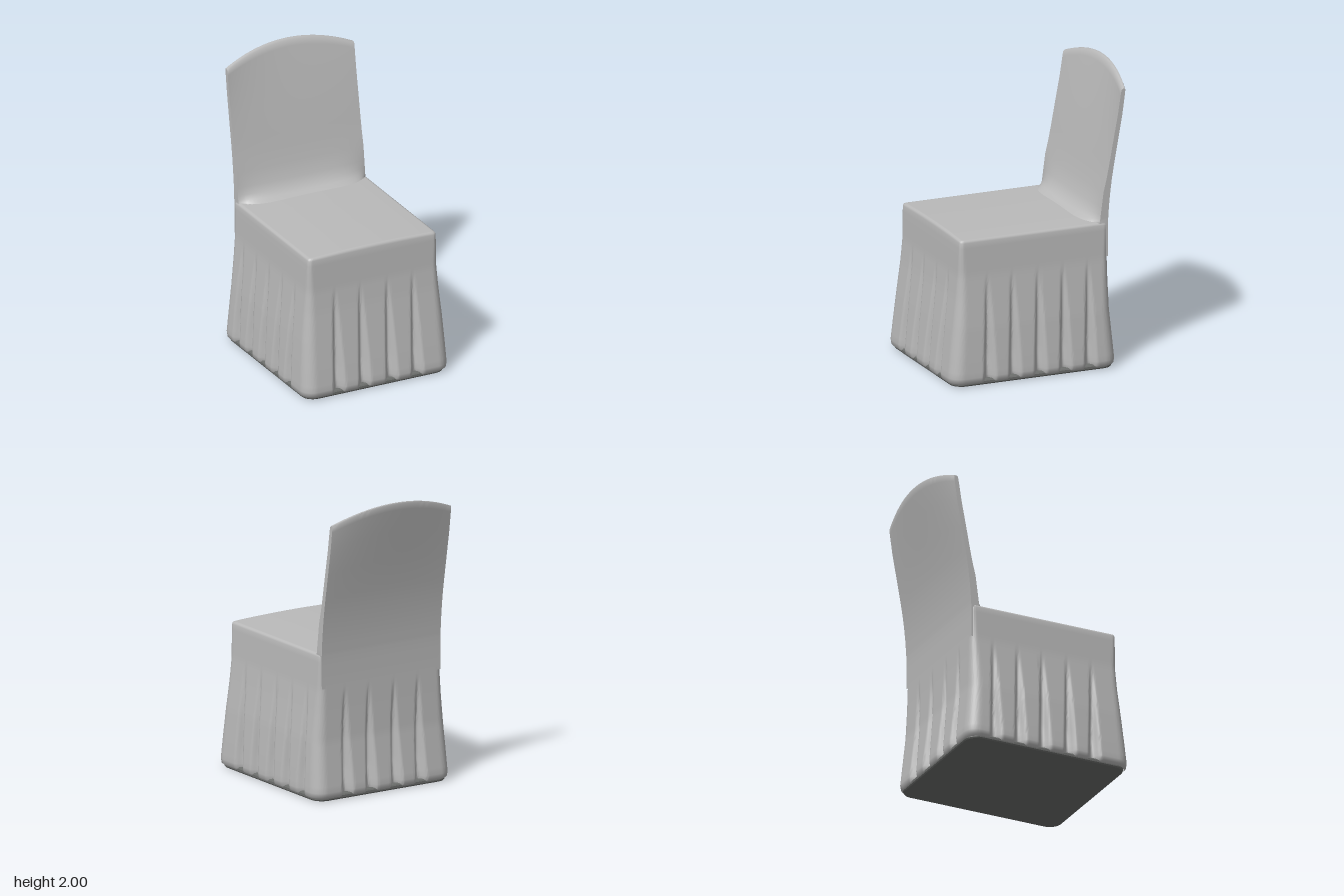
import * as THREE from 'three';
import { toCreasedNormals } from 'three/addons/utils/BufferGeometryUtils.js';

const { lerp, clamp, smoothstep } = THREE.MathUtils;

// Skin a stack of closed rings (each counter-clockwise seen from above, bottom to top)
function loft(rings, crease) {
  const n = rings[0].length, pos = rings.flat(2), idx = [];
  for (let j = 0; j < rings.length - 1; j++) {
    for (let i = 0; i < n; i++) {
      const a = j * n + i, b = j * n + (i + 1) % n;
      idx.push(a, b, b + n, a, b + n, a + n);
    }
  }
  const g = new THREE.BufferGeometry();
  g.setAttribute('position', new THREE.Float32BufferAttribute(pos, 3));
  g.setIndex(idx);
  return toCreasedNormals(g, crease);
}

// Skirt outline by height: y, half width, front z, back z, corner radius
const OUTLINE = [
  [0.018, 0.525, 0.645, -0.52, 0.09],
  [0.03, 0.537, 0.656, -0.53, 0.09],
  [0.06, 0.54, 0.66, -0.534, 0.09],
  [0.2, 0.532, 0.645, -0.52, 0.085],
  [0.4, 0.518, 0.622, -0.5, 0.075],
  [0.6, 0.498, 0.598, -0.493, 0.06],
  [0.75, 0.484, 0.584, -0.489, 0.045],
  [0.9, 0.479, 0.58, -0.486, 0.03],
  [0.975, 0.476, 0.577, -0.485, 0.025],
  [0.987, 0.472, 0.573, -0.482, 0.022],
  [0.992, 0.462, 0.563, -0.474, 0.02],
];
const PLEATS_X = [-0.29, -0.1, 0.1, 0.29];
const PLEATS_Z = [0.39, 0.21, 0.025, -0.155, -0.335];

function outlineAt(y) {
  let k = 0;
  while (k < OUTLINE.length - 2 && y > OUTLINE[k + 1][0]) k++;
  const a = OUTLINE[k], b = OUTLINE[k + 1];
  return a.map((v, i) => lerp(v, b[i], (y - a[0]) / (b[0] - a[0])));
}

// Inward depth of the pleat folds, widening towards the hem
function fold(p, centres, y) {
  const t = Math.min((0.74 - y) / 0.68, 1);
  if (t <= 0) return 0;
  const w = 0.018 + 0.036 * t, depth = 0.052 * Math.min(1, t * 1.25);
  let d = 0;
  for (const c of centres) {
    const q = Math.abs(p - c) / w;
    if (q < 1) d = depth * (0.5 + 0.5 * Math.cos(Math.PI * q));
  }
  return d;
}

function skirtRing(y, scale = 1) {
  const [, hx, zf, zb, r] = outlineAt(y);
  const cz = (zf + zb) / 2, hz = (zf - zb) / 2, N = 130, ring = [];
  for (let side = 0; side < 4; side++) {
    for (let i = 0; i < N; i++) {
      const s = -1 + 2 * i / N;
      const [sx, sz] = [[s, 1], [1, -s], [-s, -1], [-1, s]][side];
      // Rounded rectangle
      const ix = clamp(sx * hx, r - hx, hx - r), iz = clamp(sz * hz, r - hz, hz - r);
      const dx = sx * hx - ix, dz = sz * hz - iz, l = Math.hypot(dx, dz) || 1;
      let x = ix + dx / l * r, z = cz + iz + dz / l * r;
      if (side % 2) x -= Math.sign(sx) * fold(z, PLEATS_Z, y);
      else z -= Math.sign(sz) * fold(x, PLEATS_X, y);
      x *= scale;
      z = cz + (z - cz) * scale;
      // The seat is very slightly domed across its width
      const dome = 0.012 * (1 - (x / 0.48) ** 2) * smoothstep(y, 0.95, 0.99);
      ring.push([x, y + dome, z]);
    }
  }
  return ring;
}

// Chair back: y, front z in the middle, back z at the side edges
const BACK = [
  [0.76, -0.45, -0.4885],
  [0.9, -0.4, -0.4875],
  [0.985, -0.28, -0.488],
  [1.003, -0.33, -0.489],
  [1.02, -0.37, -0.49],
  [1.05, -0.4, -0.492],
  [1.1, -0.427, -0.495],
  [1.2, -0.455, -0.505],
  [1.3, -0.477, -0.516],
  [1.4, -0.495, -0.53],
  [1.6, -0.527, -0.561],
  [1.8, -0.56, -0.592],
  [1.95, -0.58, -0.61],
  [1.99, -0.586, -0.614],
  [2, -0.597, -0.61],
  [2, -0.604, -0.604],
];

function backRing([y, zf, zb]) {
  const N = 40, W = 0.472, ring = [];
  const t = clamp((y - 1.1) / 0.9, 0, 1);
  for (let i = 0; i <= 2 * N + 1; i++) {
    const front = i <= N;
    const s = front ? -1 + 2 * i / N : 1 - 2 * (i - N - 1) / N;
    const top = 2 - 0.1 * s * s;                       // arched top edge
    const py = y > 1.2 ? 1.2 + (y - 1.2) * (top - 1.2) / 0.8 : y;
    const bow = 0.052 * t * t * (1 - s * s);           // bowed backwards in the middle
    // The sweep into the seat fades out towards the side edges
    const edge = Math.min(zf, -0.43 - (y - 1) * 0.13);
    ring.push([s * W, py, (front ? lerp(zf, edge, s ** 4) : zb) - bow]);
  }
  return ring;
}

// Flat underside with softly rounded corners
function baseGeometry() {
  const w = 0.505, f = 0.622, b = -0.503, r = 0.07, s = new THREE.Shape();
  s.absarc(w - r, f - r, r, 0, Math.PI / 2);
  s.absarc(r - w, f - r, r, Math.PI / 2, Math.PI);
  s.absarc(r - w, b + r, r, Math.PI, Math.PI * 1.5);
  s.absarc(w - r, b + r, r, Math.PI * 1.5, Math.PI * 2);
  const g = new THREE.ExtrudeGeometry(s, {
    depth: 0.015, bevelThickness: 0.012, bevelSize: 0.018, bevelSegments: 2,
  });
  return g.rotateX(Math.PI / 2).translate(0, 0.027, 0);
}

export function createModel() {
  const group = new THREE.Group();
  const fabric = new THREE.MeshStandardMaterial({ color: 0xbababa });
  fabric.name = 'light grey fabric';
  const lining = new THREE.MeshStandardMaterial({ color: 0x6c6e6c });
  lining.name = 'dark grey underside';
  const add = (name, geometry, material) => {
    const m = new THREE.Mesh(geometry, material);
    m.name = name;
    group.add(m);
  };

  // Pleated skirt and seat top in one skin
  const rings = [0.018, 0.03, 0.06].map(y => skirtRing(y));
  for (let y = 0.1; y < 0.96; y += 0.03) rings.push(skirtRing(y));
  for (const y of [0.975, 0.987, 0.992]) rings.push(skirtRing(y));
  for (const s of [0.98, 0.85, 0.6, 0.3, 0]) rings.push(skirtRing(0.992, s));
  add('seatAndPleatedSkirt', loft(rings, 1.1), fabric);

  // Curved back panel flowing out of the seat
  add('backrest', loft(BACK.map(backRing), 0.9), fabric);

  // Dark base closing the skirt
  add('underside', baseGeometry(), lining);
  return group;
}
